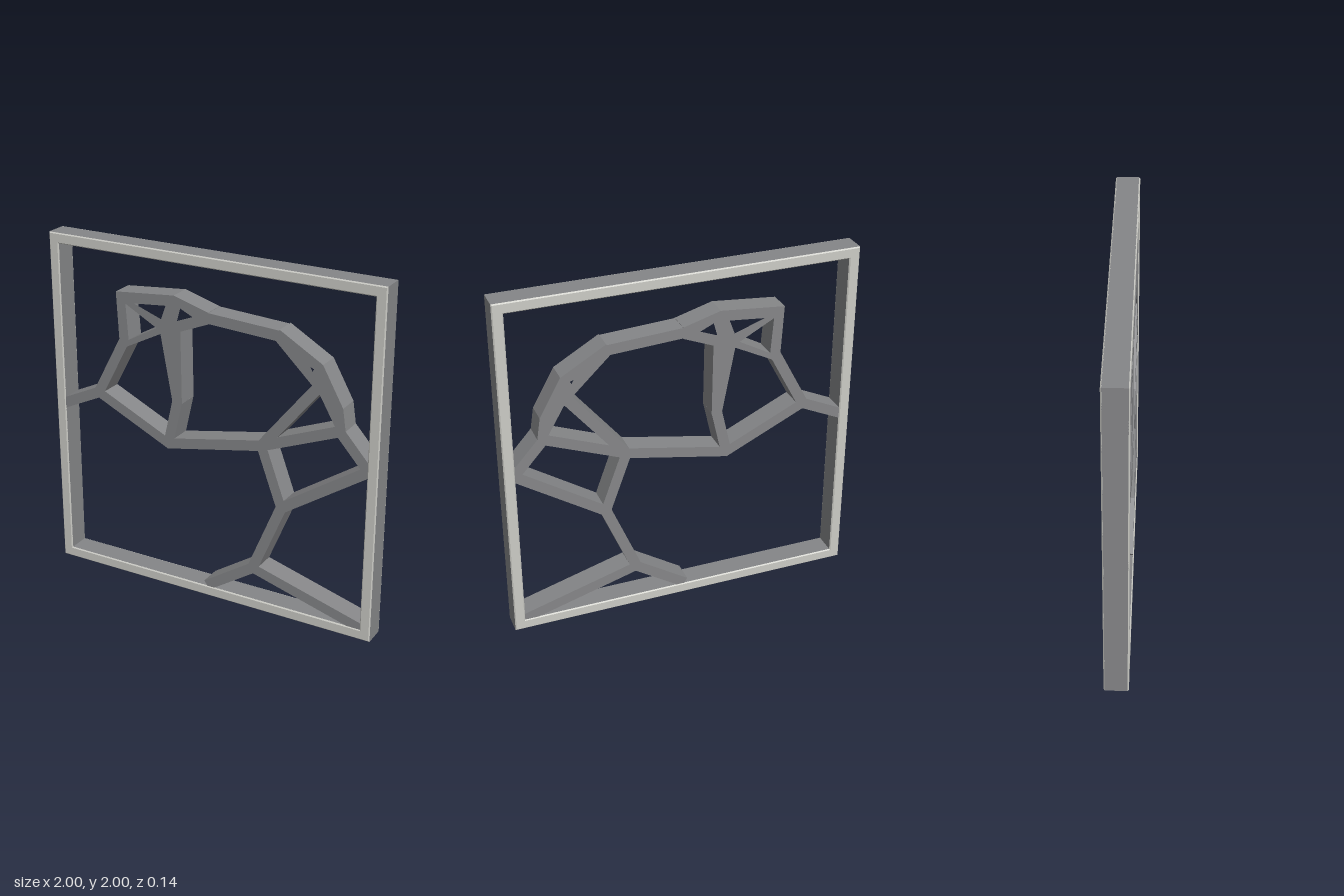
import * as THREE from 'three';

const light = new THREE.MeshStandardMaterial({ color: 0xcbcbc5 });
const dark = new THREE.MeshStandardMaterial({ color: 0x858688 });
const FRAME_HALF = 0.068; // half depth of the frame
const STRUT_HALF = 0.063; // half depth of the lattice
const STRUT_WIDTH = 0.06;

const outline = (points) => points.map(([x, y]) => new THREE.Vector2(x, y));

// Flat plate with holes, centred on z
function plate(name, points, holes, depth, material, bevel = 0) {
  const shape = new THREE.Shape(outline(points));
  shape.holes = holes.map((h) => new THREE.Path(outline(h)));
  const geometry = new THREE.ExtrudeGeometry(shape, {
    depth: depth - 2 * bevel, bevelEnabled: bevel > 0, bevelSegments: 1,
    bevelSize: bevel, bevelThickness: bevel, bevelOffset: -bevel,
  });
  geometry.translate(0, 0, bevel - depth / 2);
  const mesh = new THREE.Mesh(geometry, material);
  mesh.name = name;
  return mesh;
}

// Square outline around the frame centre
const square = (h) => [[-h, 1 - h], [h, 1 - h], [h, 1 + h], [-h, 1 + h]];

// Straight bar between two points
function strut([x1, y1], [x2, y2]) {
  const length = Math.hypot(x2 - x1, y2 - y1) + 0.025;
  const mesh = new THREE.Mesh(new THREE.BoxGeometry(length, STRUT_WIDTH, STRUT_HALF * 2), dark);
  mesh.position.set((x1 + x2) / 2, (y1 + y2) / 2, 0);
  mesh.rotation.z = Math.atan2(y2 - y1, x2 - x1);
  mesh.name = 'strut';
  return mesh;
}

export function createModel() {
  const model = new THREE.Group();
  model.name = 'framedLattice';

  // Square frame: dark walls with light bevelled faces front and back
  const frame = new THREE.Group();
  frame.name = 'frame';
  frame.add(plate('frameWalls', square(1), [square(0.94)], FRAME_HALF * 2 - 0.012, dark));
  for (const side of [1, -1]) {
    const trim = plate(side > 0 ? 'frontTrim' : 'backTrim', square(1), [square(0.94)], 0.013, light, 0.006);
    trim.position.z = side * (FRAME_HALF - 0.0065);
    frame.add(trim);
  }
  model.add(frame);

  // Lattice of struts between shared nodes
  const node = {
    leftWall: [-0.955, 0.995], elbow: [-0.71, 1.11], cheek: [-0.535, 1.44],
    low: [-0.255, 0.895], middle: [0.325, 1.01], knee: [0.45, 0.67],
    fork: [0.28, 0.255], floor: [0, 0.07], corner: [0.95, 0.065],
    rightWall: [0.945, 1.0], shoulder: [0.775, 1.19], brow: [0.64, 1.4],
    arcEnd: [0.41, 1.645], arcStart: [0, 1.668], waist: [-0.197, 1.15],
  };
  const links = [
    ['leftWall', 'elbow'], ['elbow', 'cheek'], ['elbow', 'low'], ['low', 'middle'],
    ['low', 'waist'], ['middle', 'brow'], ['middle', 'shoulder'], ['middle', 'knee'],
    ['knee', 'rightWall'], ['shoulder', 'rightWall'], ['knee', 'fork'],
    ['fork', 'floor'], ['fork', 'corner'], ['arcStart', 'arcEnd'],
  ];
  const lattice = new THREE.Group();
  lattice.name = 'lattice';
  for (const [a, b] of links) lattice.add(strut(node[a], node[b]));

  // Upper left cluster with triangular openings and a tapering leg
  lattice.add(plate('leftCluster', [
    [-0.575, 1.725], [-0.21, 1.76], [0, 1.7], [0, 1.635], [-0.17, 1.565],
    [-0.165, 1.15], [-0.225, 1.15], [-0.295, 1.53], [-0.51, 1.42], [-0.56, 1.44],
  ], [
    [[-0.515, 1.665], [-0.5, 1.46], [-0.32, 1.56]],
    [[-0.46, 1.675], [-0.26, 1.695], [-0.29, 1.615]],
    [[-0.17, 1.695], [-0.095, 1.66], [-0.19, 1.622]],
  ], STRUT_HALF * 2, dark));

  // Upper right cluster bending down to the shoulder, with a small slit
  lattice.add(plate('rightCluster', [
    [0.42, 1.68], [0.67, 1.535], [0.79, 1.32], [0.81, 1.19], [0.755, 1.2],
    [0.66, 1.365], [0.625, 1.4], [0.4, 1.615],
  ], [
    [[0.6, 1.51], [0.62, 1.503], [0.612, 1.487]],
  ], STRUT_HALF * 2, dark));
  model.add(lattice);

  return model;
}
